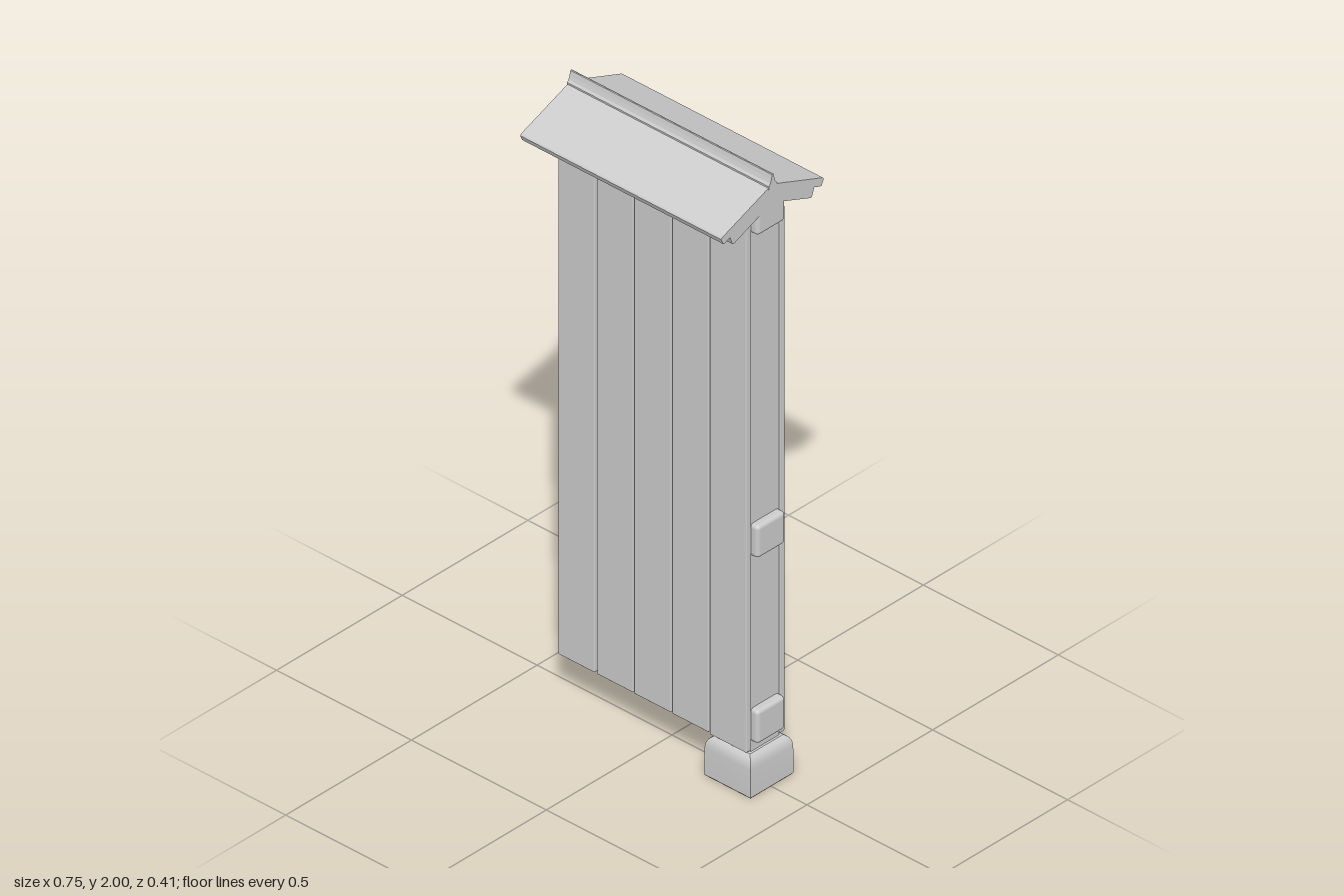
import * as THREE from 'three';
import { toCreasedNormals } from 'three/addons/utils/BufferGeometryUtils.js';
import { RoundedBoxGeometry } from 'three/addons/geometries/RoundedBoxGeometry.js';

export function createModel() {
  const model = new THREE.Group();
  model.name = 'roofedFencePanel';
  const grey = new THREE.MeshStandardMaterial({ color: 0xcccccc });
  grey.name = 'plain grey';

  const add = (name, geometry, x = 0, y = 0, z = 0) => {
    const mesh = new THREE.Mesh(geometry, grey);
    mesh.name = name;
    mesh.position.set(x, y, z);
    model.add(mesh);
    return mesh;
  };

  // Profile of [z, y] points extruded along x, centred on x = 0
  const alongX = (name, points, length) => {
    const shape = new THREE.Shape(points.map(([z, y]) => new THREE.Vector2(-z, y)));
    const geometry = new THREE.ExtrudeGeometry(shape, { depth: length, bevelEnabled: false });
    geometry.translate(0, 0, -length / 2).rotateY(Math.PI / 2);
    return add(name, geometry);
  };
  const mirrored = (half) => [...half, ...half.filter(([z]) => z > 0).reverse().map(([z, y]) => [-z, y])];

  // Upright planks on both sides: [centre x, width, bottom y]
  const planks = [
    [-0.282, 0.134, 0.143], [-0.139, 0.134, 0.143], [0, 0.137, 0.142],
    [0.14, 0.136, 0.141], [0.28, 0.136, 0.137],
  ];
  const plankTop = 1.85;
  for (const [x, width, bottom] of planks) {
    const height = plankTop - bottom;
    const y = (plankTop + bottom) / 2;
    add('frontPlank', new RoundedBoxGeometry(width, height, 0.021, 2, 0.003), x, y, 0.0675);
    add('backPlank', new RoundedBoxGeometry(width, height, 0.018, 2, 0.003), x, y, -0.066);
  }

  // Horizontal rails between the planks: [bottom y, top y]
  for (const [bottom, top] of [[0.162, 0.27], [0.767, 0.872], [1.82, 1.93]]) {
    add('rail', new RoundedBoxGeometry(0.74, top - bottom, 0.112, 3, 0.012), 0, (top + bottom) / 2, 0);
  }

  // Single post on the left end
  add('post', new THREE.BoxGeometry(0.118, 1.77, 0.112), 0.285, 0.995, 0);

  // Foot stone: square section with a rounded shoulder
  const footProfile = [
    [0, 0], [0.082, 0], [0.086, 0.005], [0.085, 0.092], [0.083, 0.108],
    [0.077, 0.121], [0.066, 0.13], [0, 0.13],
  ].map(([r, y]) => new THREE.Vector2(r * Math.SQRT2, y));
  const foot = new THREE.LatheGeometry(footProfile, 4, Math.PI / 4);
  add('footStone', toCreasedNormals(foot, 0.6), 0.285, 0, 0);

  // Two stacked layers of the pitched roof
  alongX('upperRoof', mirrored([
    [0, 1.967], [0.2, 1.89], [0.204, 1.885], [0.196, 1.867], [0.19, 1.866], [0, 1.94],
  ]), 0.745);
  alongX('lowerRoof', mirrored([
    [0, 1.941], [0.168, 1.875], [0.158, 1.848], [0.153, 1.846], [0, 1.906],
  ]), 0.743);

  // Ridge cap flaring down on to the roof
  alongX('ridgeCap', mirrored([
    [0, 2], [0.003, 1.999], [0.006, 1.985], [0.01, 1.973], [0.016, 1.966], [0.016, 1.955], [0, 1.955],
  ]), 0.748);

  return model;
}
